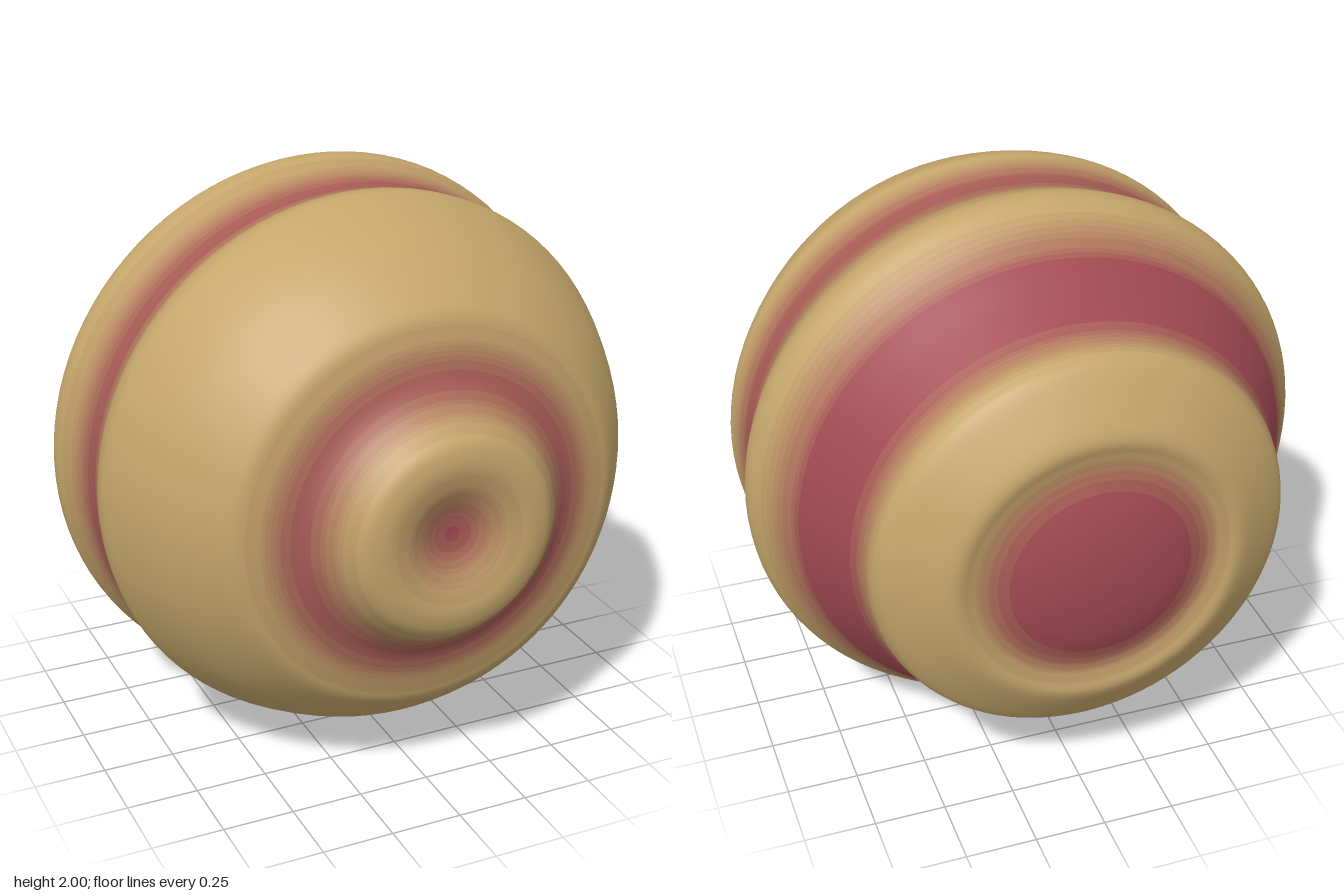
import * as THREE from 'three';

// Profile from back pole to front pole: [radius, z, redness 0..1]
const PROFILE = [
  [0, -0.95, 1], [0.12, -0.943, 1], [0.24, -0.92, 1], [0.33, -0.89, 0.9],
  [0.39, -0.877, 0.5], [0.44, -0.882, 0.1], [0.5, -0.888, 0], [0.6, -0.83, 0],
  [0.69, -0.765, 0], [0.71, -0.73, 0.05], [0.73, -0.65, 0.65], [0.765, -0.57, 1],
  [0.81, -0.48, 1], [0.85, -0.41, 1], [0.9, -0.325, 0.6], [0.965, -0.235, 0.05],
  [0.995, -0.18, 0], [0.997, -0.14, 0], [0.975, -0.07, 0.15], [0.947, 0.02, 0.7],
  [0.94, 0.09, 0.9], [0.947, 0.16, 0.6], [0.962, 0.23, 0.05], [0.963, 0.275, 0],
  [0.92, 0.39, 0], [0.85, 0.53, 0], [0.76, 0.65, 0], [0.69, 0.722, 0],
  [0.63, 0.745, 0.1], [0.55, 0.765, 0.6], [0.48, 0.787, 0.9], [0.42, 0.83, 0.6],
  [0.37, 0.89, 0.15], [0.32, 0.94, 0], [0.27, 0.953, 0], [0.2, 0.945, 0.1],
  [0.12, 0.915, 0.5], [0.06, 0.895, 0.85], [0, 0.89, 1],
];
const ROWS = 180, SIDES = 96, SHADES = 8;
const TAN = new THREE.Color(0xc4a56b), RED = new THREE.Color(0xa24a52);

export function createModel() {
  const group = new THREE.Group();

  // Smooth the profile, carrying the redness along as a third coordinate
  const spline = new THREE.CatmullRomCurve3(PROFILE.map((p) => new THREE.Vector3(...p)));
  const samples = spline.getPoints(ROWS);

  // Whole body turned about the z axis, standing on y = 0
  const body = new THREE.LatheGeometry(
    samples.map((p) => new THREE.Vector2(Math.max(0, p.x), p.y)), SIDES);
  body.rotateX(Math.PI / 2).translate(0, 1, 0);

  const materials = Array.from({ length: SHADES + 1 }, (_, i) =>
    new THREE.MeshStandardMaterial({ color: TAN.clone().lerp(RED, i / SHADES) }));

  // Band of rows sharing the body's vertices, so normals run on without seams
  const addBand = (from, to, shade) => {
    const index = [];
    for (let i = 0; i < SIDES; i++) {
      for (let j = from; j < to; j++) {
        const a = i * (ROWS + 1) + j, b = a + ROWS + 1;
        index.push(a, b, a + 1, b + 1, a + 1, b);
      }
    }
    const geometry = new THREE.BufferGeometry();
    for (const name of ['position', 'normal', 'uv']) {
      geometry.setAttribute(name, body.getAttribute(name));
    }
    geometry.setIndex(index);
    const mesh = new THREE.Mesh(geometry, materials[shade]);
    mesh.name = shade === 0 ? 'tanRidge' : shade === SHADES ? 'redGroove' : 'blendBand';
    group.add(mesh);
  };

  // Split the body wherever the shade changes
  const shadeOf = (j) => Math.round(SHADES *
    THREE.MathUtils.clamp((samples[j].z + samples[j + 1].z) / 2, 0, 1));
  let start = 0;
  for (let j = 1; j <= ROWS; j++) {
    if (j === ROWS || shadeOf(j) !== shadeOf(start)) {
      addBand(start, j, shadeOf(start));
      start = j;
    }
  }
  group.name = 'ridgedBall';
  return group;
}
